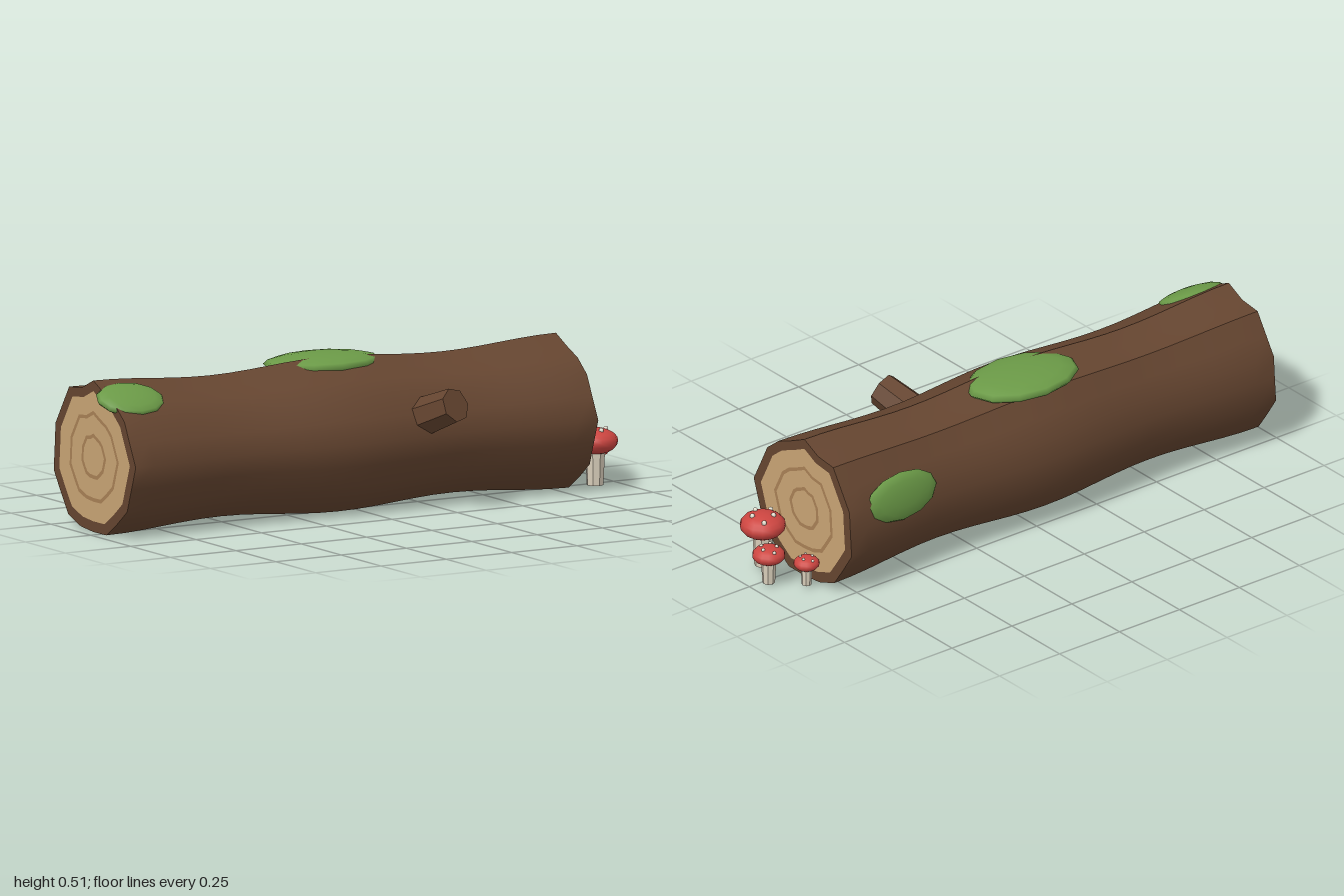
import * as THREE from 'three';
import { toCreasedNormals } from 'three/addons/utils/BufferGeometryUtils.js';

const mat = (name, color) => {
  const m = new THREE.MeshStandardMaterial({ color });
  m.name = name;
  return m;
};

// Log outline: radius every 18 degrees, from the top towards the back
const RADII = [0.251, 0.229, 0.258, 0.241, 0.249, 0.242, 0.261, 0.252, 0.266, 0.256,
  0.251, 0.263, 0.253, 0.262, 0.251, 0.266, 0.24, 0.241, 0.233, 0.228];
const SIDES = RADII.length, X0 = -0.96, X1 = 0.81, CY = 0.255, CZ = -0.05;

function logPoint(x, j, k = 1) {
  const a = (j / SIDES) * Math.PI * 2;
  const wave = 0.955 + 0.045 * Math.cos(((x - X0) / (X1 - X0)) * Math.PI * 4);
  const r = RADII[j % SIDES] * wave * k;
  return [x, CY + r * Math.cos(a), CZ - r * Math.sin(a)];
}

function fromQuads(quads) {
  const pos = [];
  for (const [a, b, c, d] of quads) pos.push(...a, ...b, ...c, ...a, ...c, ...d);
  const g = new THREE.BufferGeometry();
  g.setAttribute('position', new THREE.Float32BufferAttribute(pos, 3));
  g.computeVertexNormals();
  return g;
}

// Bark tube with a gentle swell along its length
function barkGeometry() {
  const quads = [], n = 24;
  for (let i = 0; i < n; i++) {
    const xa = X0 + ((X1 - X0) * i) / n, xb = X0 + ((X1 - X0) * (i + 1)) / n;
    for (let j = 0; j < SIDES; j++)
      quads.push([logPoint(xa, j), logPoint(xb, j), logPoint(xb, j + 1), logPoint(xa, j + 1)]);
  }
  return toCreasedNormals(fromQuads(quads), 0.85);
}

// Flat bands of the cut face, each between two fractions of the outline
function cutGeometry(bands, x, dir) {
  const quads = [];
  for (const [outer, inner] of bands)
    for (let j = 0; j < SIDES; j++) {
      const q = [logPoint(x, j, outer), logPoint(x, j + 1, outer),
        logPoint(x, j + 1, inner), logPoint(x, j, inner)];
      quads.push(dir > 0 ? q.reverse() : q);
    }
  const g = fromQuads(quads);
  const nor = g.attributes.normal;
  for (let i = 0; i < nor.count; i++) nor.setXYZ(i, dir, 0, 0);
  return g;
}

export function createModel() {
  const bark = mat('bark', 0x654530);
  const wood = mat('cut wood', 0xc8a474);
  const ringMat = mat('growth ring', 0xa88055);
  const moss = mat('moss', 0x6b9a47);
  const red = mat('mushroom cap', 0xcc4540);
  const cream = mat('mushroom stem', 0xdacfbb);
  const white = mat('cap spot', 0xf2ecdc);
  cream.flatShading = true;

  const model = new THREE.Group();
  model.name = 'mossyLog';
  const add = (parent, name, geometry, material) => {
    const m = new THREE.Mesh(geometry, material);
    m.name = name;
    parent.add(m);
    return m;
  };

  // Log body and both cut ends
  add(model, 'logBark', barkGeometry(), bark);
  for (const [x, dir, side] of [[X1, 1, 'left'], [X0, -1, 'right']]) {
    add(model, side + 'EndRim', cutGeometry([[1, 0.86]], x, dir), bark);
    add(model, side + 'EndWood', cutGeometry([[0.86, 0.6], [0.55, 0.3], [0.25, 0]], x, dir), wood);
    add(model, side + 'EndRings', cutGeometry([[0.6, 0.55], [0.3, 0.25]], x, dir), ringMat);
  }

  // Branch stub on the front
  const tip = new THREE.Vector3(0.225, 0.367, 0.28);
  const axis = new THREE.Vector3(0.25, 0.37, 0.9).normalize();
  const branch = add(model, 'branchStub',
    toCreasedNormals(new THREE.CylinderGeometry(0.058, 0.07, 0.22, 7), 0.5), bark);
  branch.quaternion.setFromUnitVectors(new THREE.Vector3(0, 1, 0), axis);
  branch.position.copy(tip).addScaledVector(axis, -0.11);

  // Moss cushions: centre, half sizes, tilt around the log
  const cushions = [
    ['topMoss', [-0.05, 0.478, -0.108], [0.212, 0.034, 0.14], 0],
    ['rightMoss', [-0.877, 0.45, 0.045], [0.123, 0.026, 0.088], 0.46],
    ['backMoss', [0.585, 0.318, -0.278], [0.145, 0.027, 0.085], -1.47],
  ];
  for (const [name, p, s, tilt] of cushions) {
    const m = add(model, name, new THREE.SphereGeometry(1, 12, 8), moss);
    m.position.set(...p);
    m.scale.set(...s);
    m.rotation.x = tilt;
  }

  // Mushrooms: x, z, cap radius, cap height above ground, cap half height, stem radius
  const shrooms = [
    ['largeMushroom', 0.88, 0.081, 0.076, 0.161, 0.044, 0.028],
    ['mediumMushroom', 0.943, -0.03, 0.055, 0.116, 0.031, 0.021],
    ['smallMushroom', 0.855, -0.118, 0.043, 0.093, 0.025, 0.016],
  ];
  for (const [name, x, z, r, y, h, stemR] of shrooms) {
    const g = new THREE.Group();
    g.name = name;
    g.position.set(x, 0, z);
    model.add(g);
    const stemH = y - 0.015;
    add(g, 'stem', new THREE.CylinderGeometry(stemR * 1.25, stemR, stemH, 8), cream)
      .position.y = 0.015 + stemH / 2;
    const cap = add(g, 'cap', new THREE.SphereGeometry(1, 14, 10), red);
    cap.position.y = y;
    cap.scale.set(r, h, r);
    // Pale spots around the crown
    for (let i = 0; i < 5; i++) {
      const a = (i / 5) * Math.PI * 2 + r * 20, polar = i % 2 ? 0.75 : 0.5;
      const spot = add(g, 'spot', new THREE.SphereGeometry(r * 0.12, 6, 5), white);
      spot.position.set(Math.sin(polar) * Math.cos(a) * r, y + Math.cos(polar) * h,
        Math.sin(polar) * Math.sin(a) * r);
    }
  }
  return model;
}
